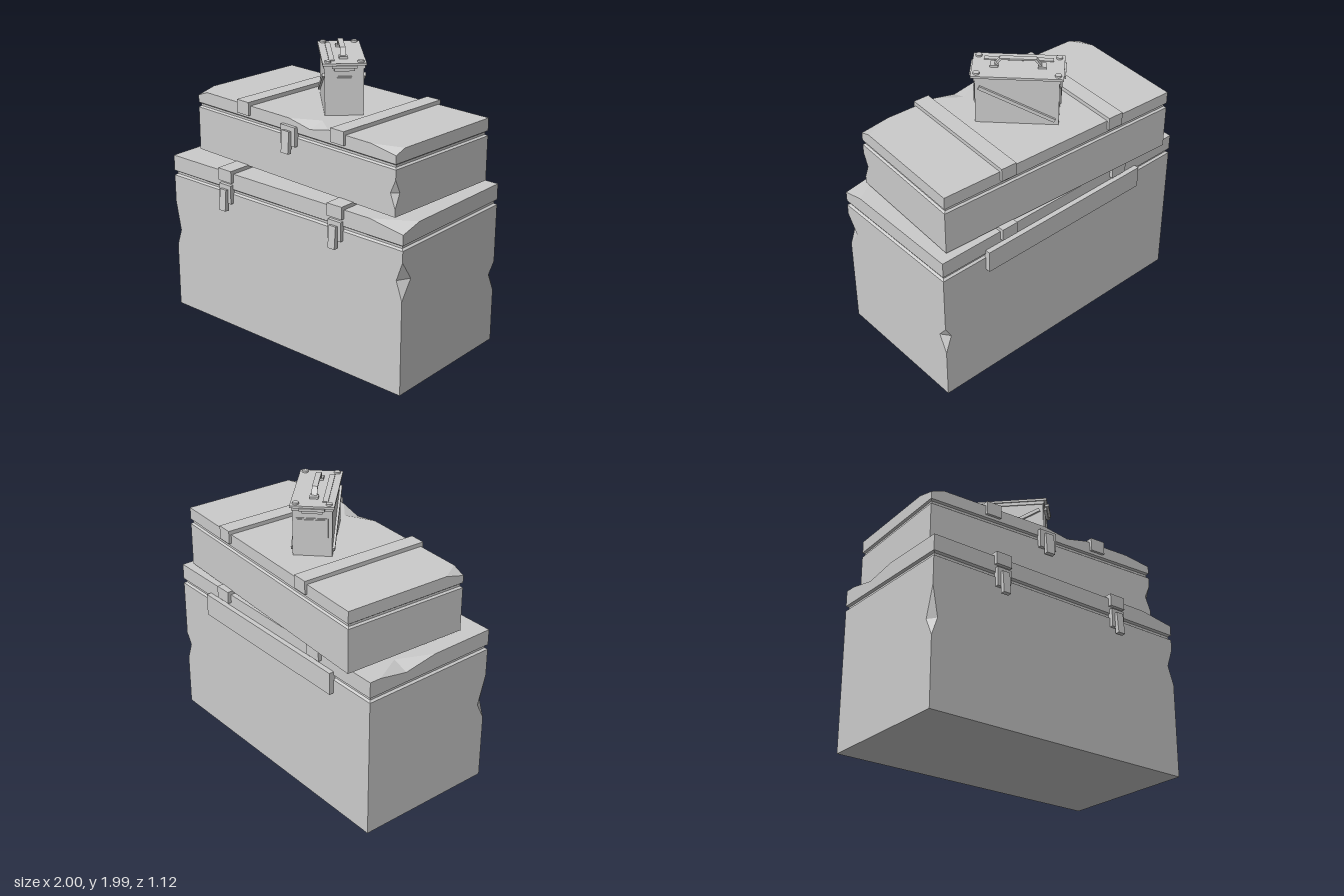
import * as THREE from 'three';

const grey = new THREE.MeshStandardMaterial({ color: 0xcccccc, flatShading: true, side: THREE.DoubleSide });

function add(parent, name, geometry, x = 0, y = 0, z = 0) {
  const mesh = new THREE.Mesh(geometry, grey);
  mesh.name = name;
  mesh.position.set(x, y, z);
  parent.add(mesh);
  return mesh;
}

// Box given by its bounds on each axis
function block(parent, name, [x0, x1], [y0, y1], [z0, z1]) {
  return add(parent, name, new THREE.BoxGeometry(x1 - x0, y1 - y0, z1 - z0),
    (x0 + x1) / 2, (y0 + y1) / 2, (z0 + z1) / 2);
}

function group(parent, name) {
  const g = new THREE.Group();
  g.name = name;
  parent.add(g);
  return g;
}

// Weight 0..1 of a dent that is deepest at its middle height
function tent(y, [lo, mid, hi]) {
  if (y <= lo || y >= hi) return 0;
  return y <= mid ? (y - lo) / (mid - lo) : (hi - y) / (hi - mid);
}

// Crate shell lofted from outlines: profile is [y, inset] pairs;
// cuts chip the vertical corners, notches chip the left or front top edge.
function crateShell(X, Z, profile, cuts, notches) {
  const ys = [...new Set([...profile.map(p => p[0]), ...cuts.flatMap(c => c.y), ...notches.flatMap(n => n.y)])]
    .filter(y => y <= profile[profile.length - 1][0]).sort((a, b) => a - b);
  const insetAt = y => {
    const i = Math.max(1, profile.findIndex(p => p[0] >= y));
    const [y0, a] = profile[i - 1], [y1, b] = profile[i];
    return a + (b - a) * (y - y0) / (y1 - y0);
  };
  const outline = y => {
    const inset = insetAt(y), x = X - inset, z = Z - inset, pts = [];
    for (const [sx, sz] of [[1, 1], [1, -1], [-1, -1], [-1, 1]]) {
      let dx = 0, dz = 0;
      for (const c of cuts.filter(c => c.corner[0] === sx && c.corner[1] === sz)) {
        dx += c.dx * tent(y, c.y);
        dz += c.dz * tent(y, c.y);
      }
      const pair = [[sx * (x - dx), sz * z], [sx * x, sz * (z - dz)]];
      pts.push(...(sx * sz > 0 ? pair : pair.reverse()));
      const side = sx > 0 ? '' : sz < 0 ? 'left' : 'front';
      for (const n of notches.filter(n => n.side === side)) {
        const w = tent(y, n.y), [a, m, b] = n.at;
        for (const [t, d] of [[m + (a - m) * w, 0], [m, n.depth * w], [m + (b - m) * w, 0]])
          pts.push(side === 'left' ? [-x + d, t] : [t, z - d]);
      }
    }
    return pts;
  };
  const rings = ys.map(outline), n = rings[0].length, pos = [], index = [];
  rings.forEach((ring, j) => ring.forEach(([x, z], i) => {
    pos.push(x, ys[j], z);
    if (j === 0) return;
    const a = (j - 1) * n + i, b = (j - 1) * n + (i + 1) % n;
    index.push(a, b, b + n, a, b + n, a + n);
  }));
  // Bottom and top caps
  for (const [j, up] of [[0, false], [ys.length - 1, true]]) {
    const flat = rings[j].map(([x, z]) => new THREE.Vector2(x, -z));
    for (const [a, b, c] of THREE.ShapeUtils.triangulateShape(flat, []))
      index.push(j * n + a, j * n + (up ? b : c), j * n + (up ? c : b));
  }
  const g = new THREE.BufferGeometry();
  g.setAttribute('position', new THREE.Float32BufferAttribute(pos, 3));
  g.setIndex(index);
  const out = g.toNonIndexed();
  out.computeVertexNormals();
  return out;
}

// Strap bent over the lid, hanging down at front and back
function strap(parent, x, w, top, bottom, thick, Z, over) {
  const g = group(parent, 'strap'), xs = [x - w / 2, x + w / 2];
  block(g, 'strapTop', xs, [top - thick, top], [-Z - over, Z + over]);
  block(g, 'strapFront', xs, [bottom, top - thick], [Z - 0.01, Z + over]);
  block(g, 'strapBack', xs, [bottom, top - thick], [-Z - over, -Z + 0.01]);
}

// Latch plate with a slightly tilted lever
function latch(parent, x, y, Z, plateW, leverW) {
  const g = group(parent, 'latch');
  block(g, 'latchPlate', [x - plateW / 2, x + plateW / 2], [y - 0.05, y + 0.08], [Z - 0.01, Z + 0.025]);
  const lever = block(g, 'latchLever', [x - leverW / 2, x + leverW / 2], [y - 0.1, y + 0.05], [Z + 0.02, Z + 0.05]);
  lever.rotation.x = -0.08;
}

function largeCrate(root) {
  const g = group(root, 'largeCrate');
  add(g, 'largeCrateShell', crateShell(1, 0.5,
    [[0, 0], [0.985, 0], [0.995, 0.015], [1.01, 0.015], [1.02, 0], [1.13, 0]],
    [
      { corner: [1, 1], y: [0.65, 0.78, 0.91], dx: 0.045, dz: 0.085 },
      { corner: [1, -1], y: [0.37, 0.5, 0.58], dx: 0.045, dz: 0.06 },
      { corner: [-1, 1], y: [0.46, 0.58, 0.79], dx: 0.04, dz: 0.06 },
      { corner: [1, 1], y: [1.09, 1.13, 9], dx: 0.26, dz: 0.16 },
    ],
    [{ side: 'left', at: [-0.42, -0.21, 0.03], depth: 0.11, y: [1.09, 1.13, 9] }]));
  for (const s of [-1, 1]) {
    strap(g, s * 0.48, 0.12, 1.155, 1.07, 0.025, 0.5, 0.025);
    latch(g, s * 0.48, 0.97, 0.5, 0.105, 0.055);
  }
  block(g, 'backRail', [-0.66, 0.66], [0.89, 1.045], [-0.535, -0.49]);
}

function smallCrate(root) {
  const g = group(root, 'smallCrate');
  g.position.set(0.01, 0, -0.064);
  g.rotation.y = -0.058;
  add(g, 'smallCrateShell', crateShell(0.9, 0.444,
    [[1.15, 0], [1.455, 0], [1.465, 0.013], [1.48, 0.013], [1.49, 0], [1.575, 0]],
    [
      { corner: [1, 1], y: [1.2, 1.3, 1.39], dx: 0.04, dz: 0.04 },
      { corner: [1, 1], y: [1.545, 1.575, 9], dx: 0.2, dz: 0.08 },
      { corner: [-1, 1], y: [1.54, 1.575, 9], dx: 0.09, dz: 0.14 },
    ],
    [{ side: 'front', at: [-0.01, 0.18, 0.34], depth: 0.11, y: [1.54, 1.575, 9] }]));
  for (const s of [-1, 1]) strap(g, s * 0.43, 0.112, 1.602, 1.51, 0.028, 0.444, 0.018);
  latch(g, 0, 1.45, 0.444, 0.13, 0.065);
}

function metalCan(root) {
  const g = group(root, 'metalCan');
  g.position.set(0.02, 0, -0.08);
  g.rotation.y = -0.79;
  block(g, 'canBody', [-0.264, 0.264], [1.575, 1.905], [-0.125, 0.125]);
  block(g, 'canCollar', [-0.272, 0.272], [1.885, 1.91], [-0.132, 0.132]);
  block(g, 'canLid', [-0.29, 0.29], [1.908, 1.924], [-0.14, 0.14]);
  block(g, 'lidRib', [-0.22, 0.22], [1.92, 1.93], [0.06, 0.095]);
  for (const s of [-1, 1]) {
    // Diagonal bar on each long side
    const bar = add(g, 'diagonalBar', new THREE.BoxGeometry(0.53, 0.024, 0.02), 0, 1.725, s * 0.13);
    bar.rotation.z = 0.445;
    // Framed panel and clasp on each end
    const end = group(g, 'canEnd');
    end.rotation.y = s > 0 ? 0 : Math.PI;
    block(end, 'endPanel', [0.26, 0.27], [1.705, 1.835], [-0.1, 0.1]);
    block(end, 'endPlate', [0.265, 0.276], [1.713, 1.827], [-0.09, 0.09]);
    block(end, 'clasp', [0.26, 0.3], [1.893, 1.911], [-0.08, 0.08]);
    block(end, 'claspLip', [0.26, 0.284], [1.872, 1.893], [-0.065, 0.065]);
    for (const t of [-1, 1])
      add(g, 'rivet', new THREE.CylinderGeometry(0.021, 0.021, 0.014, 12), s * 0.255, 1.929, t * 0.105);
    block(g, 'handleFoot', [s * 0.15 - 0.026, s * 0.15 + 0.026], [1.922, 1.938], [-0.028, 0.028]);
  }
  // Carrying handle: trapezoid strip with an open middle
  const shape = new THREE.Shape([[-0.15, 1.935], [-0.115, 1.985], [0.115, 1.985], [0.15, 1.935],
    [0.135, 1.935], [0.106, 1.974], [-0.106, 1.974], [-0.135, 1.935]].map(p => new THREE.Vector2(...p)));
  add(g, 'handle', new THREE.ExtrudeGeometry(shape, { depth: 0.036, bevelEnabled: false }), 0, 0, -0.018);
}

export function createModel() {
  const root = new THREE.Group();
  root.name = 'crateStack';
  largeCrate(root);
  smallCrate(root);
  metalCan(root);
  return root;
}
